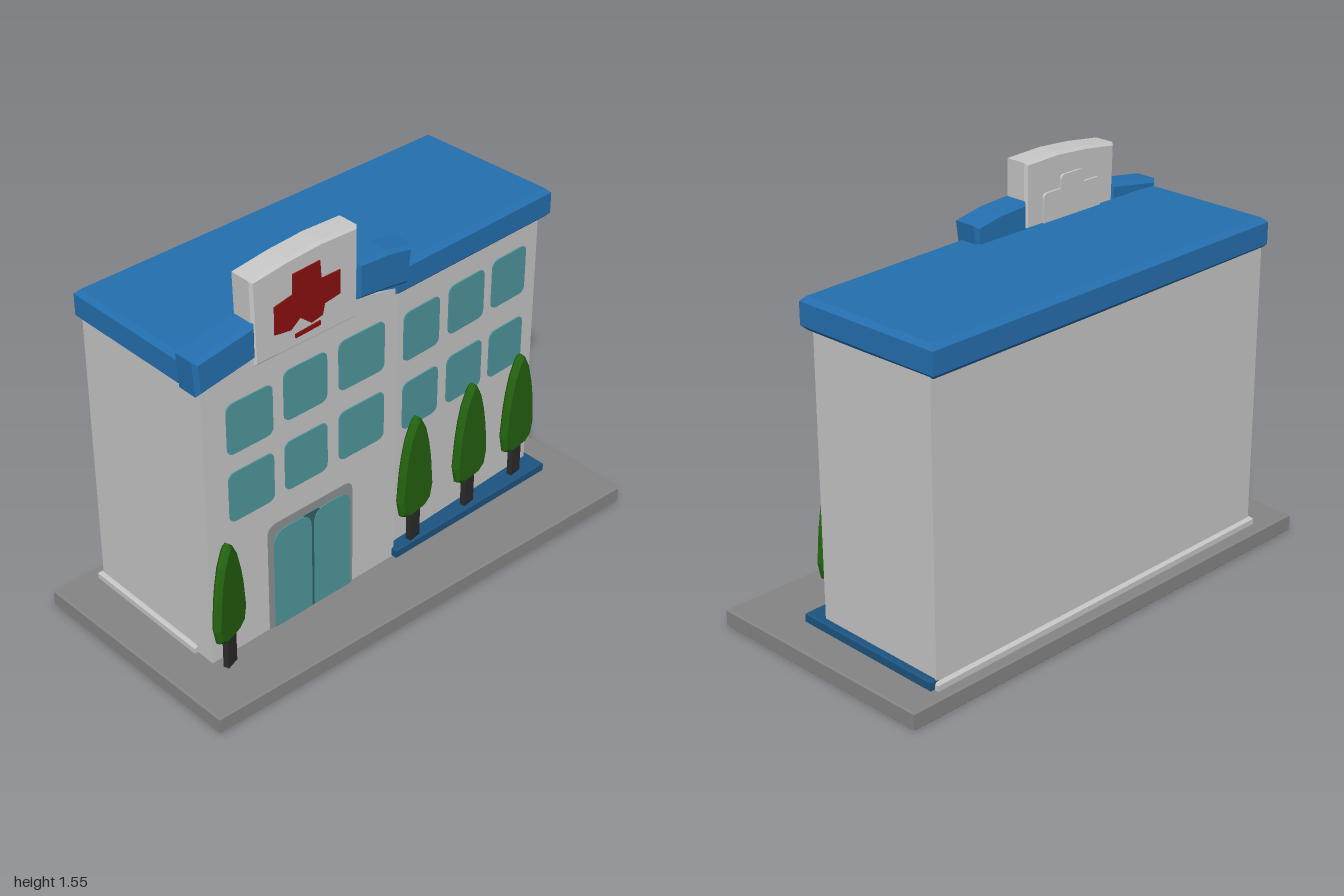
import * as THREE from 'three';

const mat = (name, color, extra = {}) => Object.assign(new THREE.MeshStandardMaterial({ color, ...extra }), { name });

export function createModel() {
  const model = new THREE.Group();
  const M = {
    wall: mat('wall grey', 0xc8c8c8),
    paving: mat('paving grey', 0x858585),
    roof: mat('roof blue', 0x2470b0),
    plinth: mat('dark blue', 0x1d5480),
    glass: mat('glass teal', 0x50979d),
    frame: mat('door frame grey', 0x8e9292),
    seam: mat('door seam teal', 0x2f6268),
    red: mat('sign red', 0x8c1010),
    leaf: mat('leaf green', 0x246410),
    trunk: mat('trunk charcoal', 0x2b2b2b),
  };

  const add = (name, geo, material, parent = model) => {
    const mesh = new THREE.Mesh(geo, material);
    mesh.name = name;
    parent.add(mesh);
    return mesh;
  };
  const poly = pts => new THREE.Shape(pts.map(p => new THREE.Vector2(p[0], p[1])));

  // Upright prism from an [x, z] footprint, optionally with bevelled edges
  const prism = (pts, y0, y1, bevel = 0) => {
    const g = new THREE.ExtrudeGeometry(poly(pts.map(([x, z]) => [x, -z])), {
      depth: y1 - y0 - 2 * bevel, bevelEnabled: bevel > 0, bevelSize: bevel,
      bevelThickness: bevel, bevelOffset: -bevel, bevelSegments: 1,
    });
    return g.rotateX(-Math.PI / 2).translate(0, y0 + bevel, 0);
  };

  // Front slab from an [x, y] outline; its depth follows a slightly slanted facade
  const leftFace = x => 0.205 - 0.02 * x;
  const rightFace = x => 0.184 - 0.064 * x;
  const slab = (shape, face, back, front, bevel = 0) => {
    const g = new THREE.ExtrudeGeometry(shape, {
      depth: front - back - 2 * bevel, bevelEnabled: bevel > 0, bevelSize: bevel,
      bevelThickness: bevel, bevelOffset: -bevel, bevelSegments: 1, curveSegments: 5,
    });
    g.translate(0, 0, back + bevel);
    const p = g.attributes.position;
    for (let i = 0; i < p.count; i++) p.setZ(i, p.getZ(i) + face(p.getX(i)));
    g.computeVertexNormals();
    return g;
  };

  const roundedRect = (x0, x1, y0, y1, r) => {
    const s = new THREE.Shape();
    s.moveTo(x0 + r, y0).lineTo(x1 - r, y0).quadraticCurveTo(x1, y0, x1, y0 + r)
      .lineTo(x1, y1 - r).quadraticCurveTo(x1, y1, x1 - r, y1)
      .lineTo(x0 + r, y1).quadraticCurveTo(x0, y1, x0, y1 - r)
      .lineTo(x0, y0 + r).quadraticCurveTo(x0, y0, x0 + r, y0);
    return s;
  };
  const arch = (x0, x1, y0, y1, r) => {
    const s = new THREE.Shape();
    s.moveTo(x0, y0).lineTo(x1, y0).lineTo(x1, y1 - r).quadraticCurveTo(x1, y1, x1 - r, y1)
      .lineTo(x0 + r, y1).quadraticCurveTo(x0, y1, x0, y1 - r).lineTo(x0, y0);
    return s;
  };

  // Ground slab
  add('pavement', prism([[-1, -0.475], [-0.98, 0.455], [1, 0.485], [0.985, -0.49]], 0, 0.07, 0.006), M.paving);

  // Main block, low ledge and blue plinth
  add('mainBlock', prism([[-0.82, -0.41], [-0.82, 0.15], [0.06, 0.18], [0.835, 0.13], [0.835, -0.435]], 0.06, 1.22), M.wall);
  add('ledge', prism([[-0.835, -0.425], [-0.835, 0.14], [0.84, 0.12], [0.84, -0.45]], 0.06, 0.1, 0.008), M.wall);
  add('bluePlinth', prism([[0.05, 0.1], [0.05, 0.228], [0.86, 0.212], [0.86, -0.435], [0.825, -0.435], [0.825, 0.1]], 0.068, 0.11, 0.006), M.plinth);

  // Flat roof
  add('mainRoof', prism([[-0.84, -0.42], [-0.84, 0.135], [0.06, 0.205], [0.86, 0.165], [0.845, -0.46]], 1.19, 1.31, 0.018), M.roof);

  // Entrance wing with gently arched top
  add('entranceWing', slab(poly([[-0.82, 0.06], [0.06, 0.06], [0.06, 1.23], [-0.1, 1.26], [-0.35, 1.27],
    [-0.6, 1.24], [-0.82, 1.21]]), leftFace, -0.09, 0), M.wall);

  // Sign tower and the blue caps beside it
  add('signTower', slab(poly([[-0.595, 1.2], [-0.135, 1.2], [-0.135, 1.55], [-0.3, 1.555], [-0.45, 1.545],
    [-0.605, 1.525]]), leftFace, -0.095, 0.008, 0.01), M.wall);
  add('signBackPanel', slab(roundedRect(-0.52, -0.22, 1.29, 1.42, 0.02), leftFace, -0.104, -0.09), M.wall);
  add('signBackPanelTop', slab(roundedRect(-0.43, -0.31, 1.4, 1.47, 0.02), leftFace, -0.104, -0.09), M.wall);
  add('leftCap', slab(poly([[-0.84, 1.195], [-0.59, 1.235], [-0.59, 1.37], [-0.85, 1.33]]),
    leftFace, -0.095, 0.015, 0.014), M.roof);
  add('rightCap', slab(poly([[-0.14, 1.265], [0, 1.25], [0.1, 1.235], [0.12, 1.38], [0, 1.402], [-0.14, 1.41]]),
    leftFace, -0.1, 0.015, 0.014), M.roof);

  // Red plus on the sign with a small stroke under it
  add('redPlus', slab(poly([[-0.51, 1.29], [-0.44, 1.28], [-0.4, 1.31], [-0.35, 1.27], [-0.3, 1.28], [-0.29, 1.32],
    [-0.22, 1.33], [-0.22, 1.42], [-0.305, 1.42], [-0.31, 1.49], [-0.43, 1.485], [-0.43, 1.41], [-0.51, 1.395]]),
    leftFace, 0.005, 0.013), M.red);
  add('redStroke', slab(poly([[-0.42, 1.24], [-0.31, 1.245], [-0.31, 1.262], [-0.42, 1.255]]),
    leftFace, 0.005, 0.013), M.red);

  // Windows: [x0, x1, upper y0, lower y0]
  const windowRows = (name, face, cols) => cols.forEach(([x0, x1, ...rows]) => rows.forEach(y =>
    add(name, slab(roundedRect(x0, x1, y, y + 0.2, 0.03), face, -0.002, 0.005), M.glass)));
  windowRows('leftWindow', leftFace, [[-0.72, -0.52, 0.905, 0.63], [-0.47, -0.275, 0.925, 0.637], [-0.22, -0.005, 0.93, 0.64]]);
  windowRows('rightWindow', rightFace, [[0.115, 0.3, 0.888, 0.595], [0.35, 0.54, 0.895, 0.597], [0.585, 0.77, 0.9, 0.597]]);

  // Double entrance door
  add('doorFrame', slab(arch(-0.555, -0.155, 0.07, 0.525, 0.04), leftFace, -0.002, 0.003), M.frame);
  add('doorSeam', slab(arch(-0.4, -0.31, 0.07, 0.49, 0.02), leftFace, 0, 0.005), M.seam);
  for (const x of [-0.53, -0.343])
    add('doorLeaf', slab(arch(x, x + 0.175, 0.07, 0.49, 0.06), leftFace, 0, 0.007), M.glass);

  // Flat cut-out trees, turned slightly about their trunks
  const half = [[0.045, 0], [0.085, 0.025], [0.1, 0.09], [0.088, 0.21], [0.075, 0.28], [0.055, 0.35], [0.025, 0.405]];
  const crown = poly([...half, [0, 0.43], ...half.slice().reverse().map(([x, y]) => [-x, y])]);
  const tree = (x, y, z, turn, s = 1) => {
    const g = new THREE.Group();
    g.name = 'tree';
    g.position.set(x, y, z);
    g.rotation.y = turn;
    const top = new THREE.ExtrudeGeometry(crown, {
      depth: 0.012, bevelThickness: 0.012, bevelSize: 0.014, bevelOffset: -0.014, bevelSegments: 1,
    });
    add('crown', top.translate(0, 0, -0.006).scale(s, s, 1).translate(0, 0.115, 0), M.leaf, g);
    add('trunk', new THREE.BoxGeometry(0.055, 0.13, 0.022).translate(-0.005, 0.06, 0), M.trunk, g);
    model.add(g);
  };
  tree(-0.775, 0.085, 0.268, 0.33, 0.94);
  tree(0.16, 0.11, 0.205, 0.15);
  tree(0.46, 0.11, 0.19, 0.15);
  tree(0.735, 0.11, 0.172, 0.15);

  return model;
}
